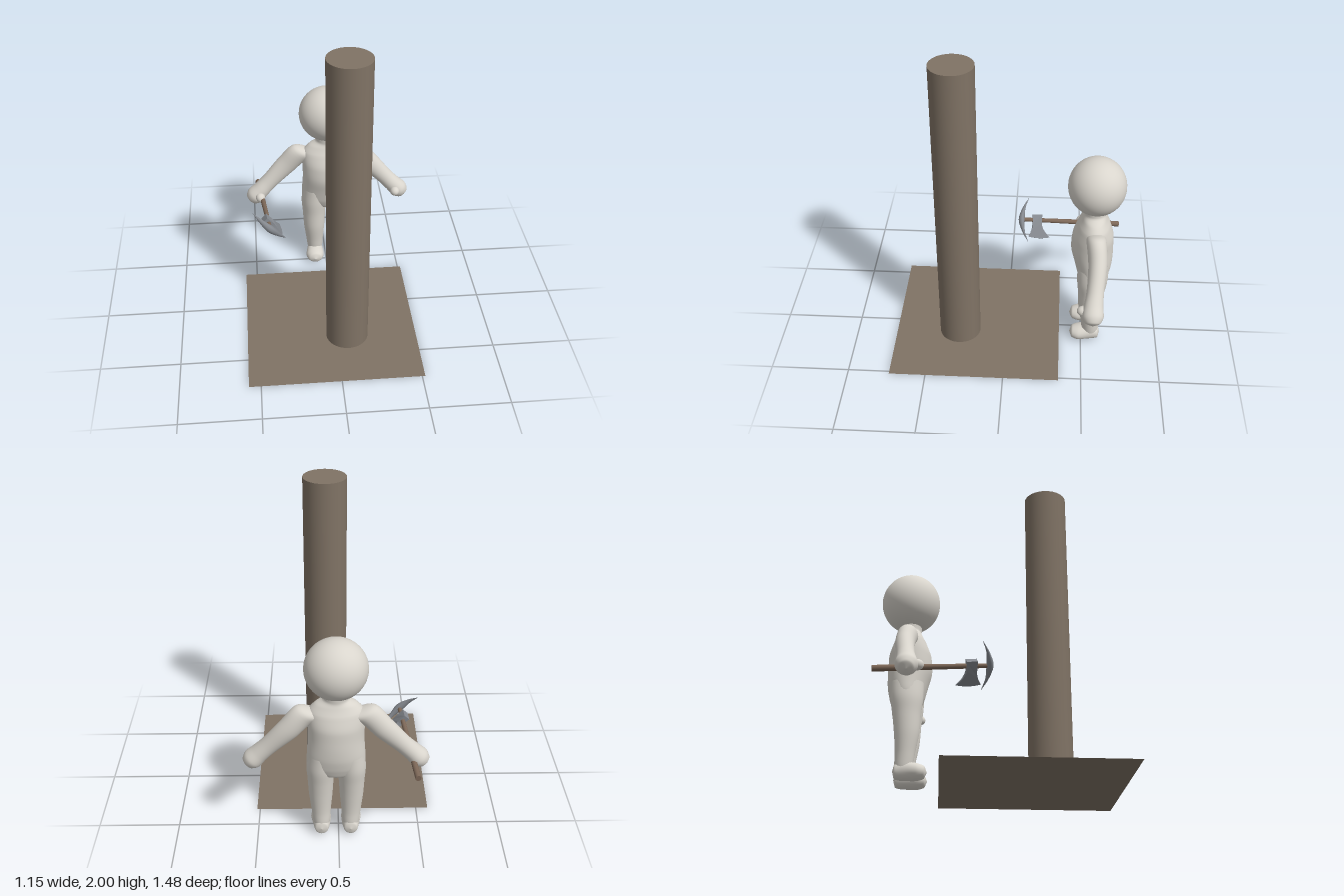
import * as THREE from 'three';

const material = (name, color) => {
  const m = new THREE.MeshStandardMaterial({ color });
  m.name = name;
  return m;
};
const skin = material('pale skin', 0xd9d5cd);
const wood = material('brown wood', 0x807365);
const handleWood = material('handle wood', 0x7d6858);
const steel = material('grey steel', 0x868a90);
const CX = 0.015; // middle of the figure

function add(parent, name, geometry, mat, x = 0, y = 0, z = 0) {
  const mesh = new THREE.Mesh(geometry, mat);
  mesh.name = name;
  mesh.position.set(x, y, z);
  parent.add(mesh);
  return mesh;
}

// Smooth skin through elliptical sections [x, y, z, radiusU, radiusV]; u x v points along the path
function loft(sections, u, v, steps = 32, sides = 28) {
  const path = new THREE.CatmullRomCurve3(sections.map(s => new THREE.Vector3(s[0], s[1], s[2])));
  const radii = new THREE.CatmullRomCurve3(sections.map(s => new THREE.Vector3(s[3], s[4], 0)));
  const positions = [], index = [];
  for (let i = 0; i <= steps; i++) {
    const c = path.getPoint(i / steps), r = radii.getPoint(i / steps);
    for (let j = 0; j < sides; j++) {
      const a = j / sides * Math.PI * 2;
      const p = c.clone()
        .addScaledVector(u, Math.max(r.x, 0.001) * Math.cos(a))
        .addScaledVector(v, Math.max(r.y, 0.001) * Math.sin(a));
      positions.push(p.x, p.y, p.z);
      if (i < steps) {
        const k = i * sides + j, n = i * sides + (j + 1) % sides;
        index.push(k, n, k + sides, n, n + sides, k + sides);
      }
    }
  }
  const g = new THREE.BufferGeometry();
  g.setAttribute('position', new THREE.Float32BufferAttribute(positions, 3));
  g.setIndex(index);
  g.computeVertexNormals();
  return g;
}

const X = new THREE.Vector3(1, 0, 0), Y = new THREE.Vector3(0, 1, 0), Z = new THREE.Vector3(0, 0, 1);

function createFigure() {
  const figure = new THREE.Group();
  figure.name = 'figure';

  const head = add(figure, 'head', new THREE.SphereGeometry(1, 48, 32), skin, CX, 1.17, -0.555);
  head.scale.set(0.187, 0.185, 0.18);

  // Neck, shoulders, belly and hips in one piece
  add(figure, 'torso', loft([
    [CX, 1.04, -0.55, 0.08, 0.07],
    [CX, 0.975, -0.55, 0.075, 0.066],
    [CX, 0.94, -0.55, 0.125, 0.075],
    [CX, 0.89, -0.55, 0.165, 0.1],
    [CX, 0.8, -0.547, 0.17, 0.13],
    [CX, 0.71, -0.545, 0.168, 0.134],
    [CX, 0.6, -0.556, 0.174, 0.12],
    [CX, 0.52, -0.558, 0.176, 0.102],
    [CX, 0.46, -0.56, 0.13, 0.075],
    [CX, 0.44, -0.56, 0.001, 0.001],
  ], X, Z, 48, 40), skin);

  for (const s of [1, -1]) {
    const side = s > 0 ? 'left' : 'right';
    const at = o => CX + s * o;

    add(figure, side + 'Leg', loft([
      [at(0.088), 0.6, -0.556, 0.08, 0.1],
      [at(0.093), 0.5, -0.555, 0.086, 0.097],
      [at(0.094), 0.4, -0.552, 0.079, 0.084],
      [at(0.094), 0.28, -0.548, 0.072, 0.073],
      [at(0.092), 0.16, -0.553, 0.059, 0.058],
      [at(0.09), 0.09, -0.558, 0.053, 0.054],
      [at(0.09), 0.04, -0.56, 0.045, 0.045],
    ], X, Z), skin);

    add(figure, side + 'Foot', loft([
      [at(0.09), 0.055, -0.622, 0.001, 0.001],
      [at(0.09), 0.055, -0.61, 0.04, 0.043],
      [at(0.09), 0.06, -0.56, 0.053, 0.057],
      [at(0.094), 0.054, -0.485, 0.062, 0.051],
      [at(0.094), 0.053, -0.44, 0.046, 0.037],
      [at(0.094), 0.053, -0.423, 0.001, 0.001],
    ], X, Y), skin);

    // Arm runs outward and down, swelling into a mitten hand
    const across = new THREE.Vector3(1, s, 0).normalize();
    add(figure, side + 'Arm', loft([
      [at(0.09), 0.868, -0.56, 0.05, 0.05],
      [at(0.18), 0.872, -0.562, 0.073, 0.062],
      [at(0.28), 0.775, -0.572, 0.069, 0.058],
      [at(0.4), 0.65, -0.56, 0.056, 0.054],
      [at(0.455), 0.593, -0.552, 0.057, 0.06],
      [at(0.495), 0.552, -0.55, 0.062, 0.066],
      [at(0.528), 0.519, -0.55, 0.044, 0.045],
      [at(0.538), 0.509, -0.55, 0.001, 0.001],
    ], across, Z, 40), skin);

    const thumb = add(figure, side + 'Thumb', new THREE.SphereGeometry(1, 20, 14), skin, at(0.465), 0.565, -0.49);
    thumb.scale.set(0.032, 0.032, 0.038);
  }
  return figure;
}

// Local z runs along the handle, local x along the blades
function createTool() {
  const tool = new THREE.Group();
  tool.name = 'tool';

  const handle = new THREE.CylinderGeometry(0.013, 0.019, 0.675, 16);
  handle.rotateX(Math.PI / 2);
  add(tool, 'handle', handle, handleWood, 0, 0, -0.325);

  add(tool, 'pickBlade', loft([
    [-0.15, 0, -0.04, 0.001, 0.001],
    [-0.08, 0, -0.008, 0.014, 0.01],
    [0, 0, 0.006, 0.026, 0.021],
    [0.08, 0, -0.008, 0.014, 0.01],
    [0.15, 0, -0.04, 0.001, 0.001],
  ], Y, Z, 24, 8), steel);

  // Axe head: flared outline, thick at the socket and thin at the edge
  const outline = new THREE.Shape();
  outline.moveTo(-0.035, -0.068);
  outline.lineTo(0.025, -0.07);
  outline.quadraticCurveTo(0.07, -0.07, 0.115, -0.042);
  outline.quadraticCurveTo(0.135, -0.115, 0.115, -0.188);
  outline.quadraticCurveTo(0.07, -0.135, 0.025, -0.13);
  outline.lineTo(-0.035, -0.132);
  outline.closePath();
  const blade = new THREE.ExtrudeGeometry(outline, { depth: 0.044, bevelEnabled: false, curveSegments: 10 });
  blade.translate(0, 0, -0.022);
  blade.rotateX(Math.PI / 2);
  const p = blade.attributes.position;
  for (let i = 0; i < p.count; i++) {
    const t = THREE.MathUtils.clamp((p.getX(i) - 0.02) / 0.1, 0, 1);
    p.setY(i, p.getY(i) * (1 - 0.92 * t));
  }
  blade.computeVertexNormals();
  add(tool, 'axeBlade', blade, steel);

  const along = new THREE.Vector3(0.066, 0.06, 0.65).normalize();
  const up = along.clone().cross(new THREE.Vector3(1, -1, 0)).normalize();
  const out = up.clone().cross(along);
  tool.quaternion.setFromRotationMatrix(new THREE.Matrix4().makeBasis(out, up, along));
  tool.position.set(-0.396, 0.592, -0.085);
  return tool;
}

export function createModel() {
  const model = new THREE.Group();
  model.name = 'model';

  // Flat ground and tall post
  const ground = new THREE.PlaneGeometry(1.095, 1.09);
  ground.rotateX(-Math.PI / 2);
  const groundWood = material('ground brown', 0x807365);
  groundWood.side = THREE.DoubleSide;
  add(model, 'ground', ground, groundWood, -0.028, 0, 0.19);
  add(model, 'post', new THREE.CylinderGeometry(0.135, 0.135, 2, 40), wood, 0.071, 1, 0.311);

  model.add(createFigure(), createTool());
  return model;
}
